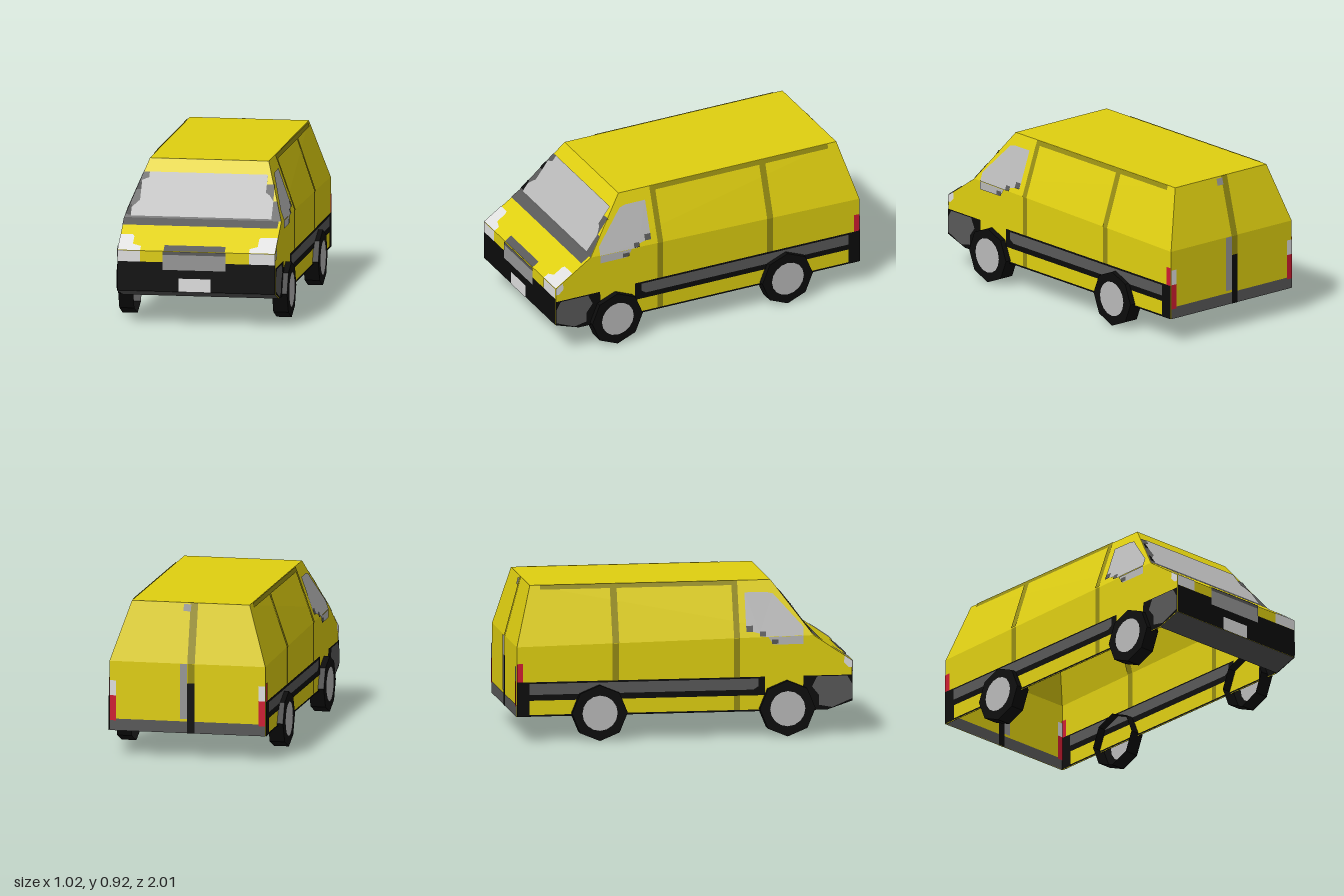
import * as THREE from 'three';

const mat = (name, color) => {
  const m = new THREE.MeshStandardMaterial({ color, side: THREE.DoubleSide, flatShading: true });
  m.name = name;
  return m;
};

export function createModel() {
  const van = new THREE.Group();
  van.name = 'van';
  const yellow = mat('yellow paint', 0xe0d010);
  const olive = mat('olive seam', 0x968c12);
  const black = mat('black plastic', 0x0c0c0c);
  const charcoal = mat('charcoal trim', 0x595959);
  const grey = mat('mid grey', 0x989898);
  const glass = mat('pale grey glass', 0xbababa);
  const light = mat('lamp white', 0xe0e0e0);
  const red = mat('tail lamp red', 0xd01c32);

  // Body panels: each maps a flat outline (u, v) to the shell, raised by e
  const belt = z => 0.595 - 0.03 * (0.77 - z) / 1.77;
  const sideLower = s => ({ flip: s > 0, at: (z, y, e) => [s * (0.47 + e), y, z] });
  const sideUpper = s => ({
    flip: s > 0,
    at: (z, y, e) => [s * (0.47 - 0.115 * (y - belt(z)) / (0.915 - belt(z)) + e), y + e * 0.3, z]
  });
  const front = { at: (x, y, e) => [x, y, 1 + e] };
  const chin = { at: (x, y, e) => [x, y - e, 0.85 + (y - 0.15) * 3 + e * 0.3] };
  const hood = { at: (x, y, e) => [x, y + e * 0.83, 1 - (y - 0.44) * 0.23 / 0.155 + e * 0.56] };
  const screen = { at: (x, y, e) => [x, y + e * 0.6, 0.77 - (y - 0.595) * 0.75 + e * 0.8] };
  const roof = { at: (x, v, e) => [x, 0.915 + e, -v] };
  const rear = { flip: true, at: (x, y, e) => [x, y, -1 - e] };
  const rearUpper = { flip: true, at: (x, y, e) => [x, y + e * 0.26, -1 + 0.095 * (y - 0.565) / 0.35 - e] };

  function panel(name, material, facet, pts, e = 0) {
    const shape = new THREE.Shape(pts.map(p => new THREE.Vector2(p[0], p[1])));
    // Painted details also appear on the inside of the hollow shell
    for (const off of e ? [e, -e] : [0]) {
      const g = new THREE.ShapeGeometry(shape);
      const pos = g.attributes.position;
      for (let i = 0; i < pos.count; i++) pos.setXYZ(i, ...facet.at(pos.getX(i), pos.getY(i), off));
      const idx = g.index.array;
      if (!!facet.flip !== off < 0)
        for (let i = 0; i < idx.length; i += 3) [idx[i], idx[i + 1]] = [idx[i + 1], idx[i]];
      g.computeVertexNormals();
      const mesh = new THREE.Mesh(g, material);
      mesh.name = off < 0 ? name + 'Inside' : name;
      van.add(mesh);
    }
  }
  const rect = (a, b, c, d) => [[a, c], [b, c], [b, d], [a, d]];

  // Shell, open underneath
  panel('frontPanel', yellow, front, rect(-0.47, 0.47, 0.2, 0.44));
  panel('chin', charcoal, chin, rect(-0.47, 0.47, 0.15, 0.2));
  panel('hood', yellow, hood, rect(-0.47, 0.47, 0.44, 0.595));
  panel('windscreenFrame', yellow, screen, [[-0.47, 0.595], [0.47, 0.595], [0.355, 0.915], [-0.355, 0.915]]);
  panel('roof', yellow, roof, rect(-0.355, 0.355, -0.53, 0.905));
  panel('rearLower', yellow, rear, rect(-0.47, 0.47, 0.15, 0.565));
  panel('rearUpper', yellow, rearUpper, [[-0.47, 0.565], [0.47, 0.565], [0.355, 0.915], [-0.355, 0.915]]);

  // Front details
  panel('bumper', black, front, rect(-0.47, 0.47, 0.2, 0.375), 0.003);
  panel('grille', grey, front, rect(-0.2, 0.175, 0.33, 0.425), 0.006);
  panel('grilleTop', charcoal, front, rect(-0.2, 0.175, 0.42, 0.44), 0.007);
  panel('grilleLip', charcoal, hood, rect(-0.195, 0.17, 0.44, 0.467), 0.004);
  panel('blankPlate', light, front, rect(-0.105, 0.085, 0.2, 0.28), 0.006);
  panel('cowl', charcoal, hood, rect(-0.47, 0.455, 0.56, 0.595), 0.004);
  panel('windscreenBorder', charcoal, screen, [[-0.47, 0.595], [0.47, 0.595], [0.432, 0.7],
    [0.41, 0.7], [0.405, 0.79], [0.36, 0.79], [0.36, 0.84], [-0.382, 0.84]], 0.003);
  panel('windscreen', glass, screen, [[-0.43, 0.605], [0.41, 0.605], [0.41, 0.7], [0.385, 0.73],
    [0.36, 0.745], [0.36, 0.84], [-0.345, 0.84], [-0.345, 0.81], [-0.385, 0.795],
    [-0.385, 0.69], [-0.43, 0.65]], 0.006);
  panel('pillarShadeUpper', black, screen, [[-0.385, 0.745], [-0.385, 0.785], [-0.4, 0.785], [-0.415, 0.745]], 0.007);
  panel('pillarShadeLower', black, screen, [[-0.43, 0.61], [-0.43, 0.665], [-0.445, 0.66], [-0.463, 0.61]], 0.007);
  for (const s of [-1, 1]) {
    const inner = s < 0 ? -0.335 : 0.315, step = s < 0 ? -0.385 : 0.36;
    panel('headlamp', light, front, rect(Math.min(inner, s * 0.47), Math.max(inner, s * 0.47), 0.375, 0.44), 0.004);
    panel('headlampTop', light, hood, [[s * 0.47, 0.44], [inner, 0.44], [inner, 0.46],
      [step, 0.47], [step, 0.505], [step + s * 0.01, 0.515], [s * 0.47, 0.515]], 0.004);
  }

  // Rear details
  panel('rearBumper', charcoal, rear, rect(-0.47, 0.47, 0.15, 0.22), 0.003);
  panel('rearSeamUpper', olive, rearUpper, rect(-0.045, 0, 0.565, 0.915), 0.003);
  panel('rearSeamLower', olive, rear, rect(-0.045, 0, 0.45, 0.565), 0.003);
  panel('rearSeamDark', black, rear, rect(-0.045, 0, 0.15, 0.45), 0.005);
  panel('rearHandle', grey, rear, rect(0, 0.045, 0.235, 0.565), 0.004);
  panel('rearCatch', grey, rearUpper, rect(-0.005, 0.04, 0.865, 0.905), 0.005);

  for (const s of [-1, 1]) {
    const low = sideLower(s), up = sideUpper(s);
    // Side shell
    panel('sideLower', yellow, low, [[0.85, 0.15], [1, 0.2], [1, 0.44], [0.77, 0.595], [-1, 0.565], [-1, 0.15]]);
    panel('sideUpper', yellow, up, [[0.77, 0.595], [0.53, 0.915], [-0.905, 0.915], [-1, 0.565]]);

    // Side window, crossing the waistline
    panel('sideWindow', glass, up, [[0.71, 0.594], [0.71, 0.645], [0.54, 0.835], [0.5, 0.845], [0.37, 0.845],
      [0.37, 0.63], [0.45, 0.61], [0.47, 0.59]], 0.006);
    panel('sideWindowBase', glass, low, [[0.71, 0.545], [0.71, 0.594], [0.5, 0.59], [0.53, 0.545]], 0.006);
    panel('windowCornerRear', charcoal, up, rect(0.37, 0.41, 0.62, 0.655), 0.008);
    panel('windowCornerMid', charcoal, up, rect(0.45, 0.485, 0.592, 0.62), 0.008);
    panel('windowCornerFront', charcoal, low, rect(0.52, 0.56, 0.55, 0.575), 0.008);

    // Door seams and rail
    for (const [a, b, bottom] of [[0.295, 0.33, 0.15], [-0.43, -0.39, 0.35]]) {
      panel('doorSeamUpper', olive, up, [[a, belt(a)], [b, belt(b)], [b, 0.89], [a, 0.89]], 0.006);
      panel('doorSeamLower', olive, low, [[a, bottom], [b, bottom], [b, belt(b)], [a, belt(a)]], 0.002);
    }
    panel('doorRail', olive, up, rect(-0.845, 0.33, 0.888, 0.914), 0.005);

    // Rub strip, bumper returns and lamps
    panel('rubStrip', black, low, rect(-1, 0.48, 0.245, 0.355), 0.004);
    panel('rubStripFace', charcoal, low, [[-0.925, 0.28], [0.41, 0.28], [0.44, 0.3], [0.44, 0.345], [-0.925, 0.345]], 0.007);
    panel('sill', black, low, rect(-1, 0.85, 0.15, 0.16), 0.004);
    panel('rearBumperReturn', black, low, rect(-1, -0.925, 0.15, 0.355), 0.005);
    panel('bumperReturn', black, low, [[0.7, 0.15], [0.85, 0.15], [1, 0.2], [1, 0.355], [0.71, 0.355]], 0.004);
    panel('bumperReturnFace', charcoal, low, [[0.8, 0.18], [0.88, 0.165], [1, 0.215], [1, 0.3],
      [0.97, 0.35], [0.79, 0.35], [0.76, 0.29], [0.8, 0.24]], 0.007);
    panel('headlampReturn', light, low, [[0.98, 0.4], [1, 0.4], [1, 0.44], [0.955, 0.47], [0.95, 0.43]], 0.004);
    panel('tailLampReturn', red, low, rect(-1, -0.963, 0.355, 0.465), 0.004);
    const [a, b] = s < 0 ? [-0.47, -0.43] : [0.43, 0.47];
    panel('tailLamp', red, rear, rect(a, b, 0.21, 0.36), 0.005);
    panel('reversingLamp', light, rear, rect(a, b, 0.36, 0.45), 0.005);

    // Hollow eight-sided wheels, open on the inside
    for (const z of [0.61, -0.51]) {
      const wheel = new THREE.Group();
      wheel.name = z > 0 ? 'frontWheel' : 'rearWheel';
      wheel.position.set(s * 0.46, 0.166, z);
      const tread = new THREE.Mesh(new THREE.CylinderGeometry(0.166, 0.166, 0.09, 8, 1, true).rotateZ(Math.PI / 2), black);
      tread.name = 'tread';
      wheel.add(tread);
      const disc = (name, r, n, material, x) => {
        const m = new THREE.Mesh(new THREE.CircleGeometry(r, n).rotateY(s * Math.PI / 2), material);
        m.name = name;
        m.position.x = s * x;
        wheel.add(m);
      };
      disc('tyreWall', 0.166, 8, black, 0.045);
      disc('hub', 0.105, 16, glass, 0.048);
      disc('hubInside', 0.105, 16, glass, 0.042);
      van.add(wheel);
    }
  }
  return van;
}
